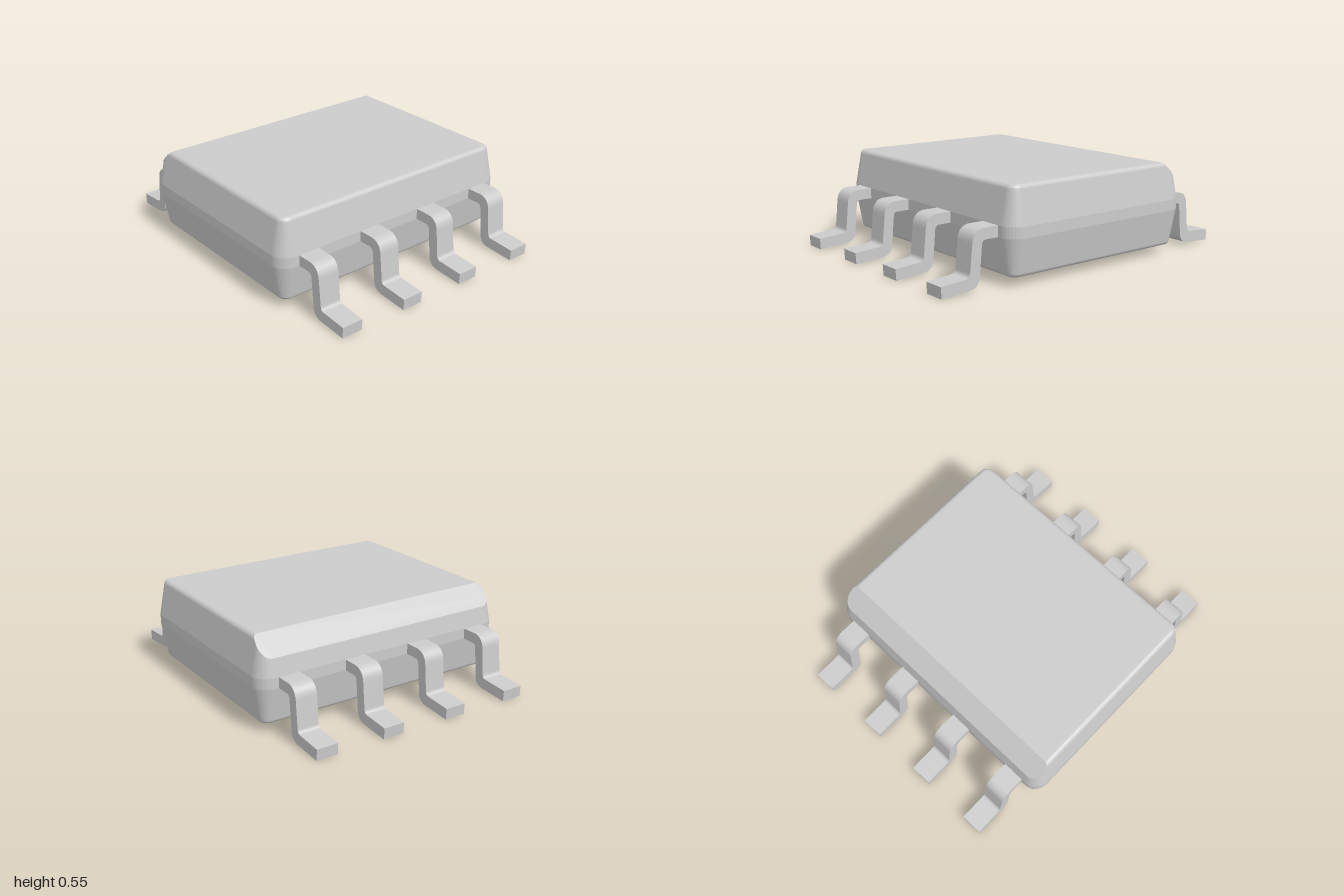
import * as THREE from 'three';
import { ConvexGeometry } from 'three/addons/geometries/ConvexGeometry.js';

const HALF_X = 0.64, HALF_Z = 0.815, CORNER = 0.09;

// Rounded rectangle at height y, drawn in by the given inset
function ring(y, inset) {
  const r = CORNER - inset, steps = 8, points = [];
  for (let q = 0; q < 4; q++) {
    const cx = (HALF_X - CORNER) * (q === 0 || q === 3 ? 1 : -1);
    const cz = (HALF_Z - CORNER) * (q < 2 ? 1 : -1);
    for (let i = 0; i <= steps; i++) {
      const a = (q + i / steps) * Math.PI / 2;
      points.push(new THREE.Vector3(cx + r * Math.cos(a), y, cz + r * Math.sin(a)));
    }
  }
  return points;
}

// Tapered, filleted body with one long top edge bevelled off
function bodyGeometry() {
  const rings = [];
  const fillet = 6, tilt = 0.17, r = 0.028;
  const addFillet = (yFace, dir) => {
    for (let i = 0; i <= fillet; i++) {
      const a = tilt + (i / fillet) * (Math.PI / 2 - tilt);
      rings.push(ring(yFace - dir * r * (1 - Math.sin(a)), 0.034 + r * (1 - Math.cos(a))));
    }
  };
  addFillet(0.05, -1);
  rings.reverse();
  rings.push(ring(0.267, 0), ring(0.33, 0));
  addFillet(0.545, 1);

  // Keep the points under the bevel plane, and add those where edges cross it
  const above = p => p.y - p.x - 1.055;
  const points = [];
  const cross = (p, q) => {
    const a = above(p), b = above(q);
    if (a * b < 0) points.push(p.clone().lerp(q, a / (a - b)));
  };
  rings.forEach((loop, j) => loop.forEach((p, i) => {
    if (above(p) <= 0) points.push(p);
    cross(p, loop[(i + 1) % loop.length]);
    if (j + 1 < rings.length) cross(p, rings[j + 1][i]);
  }));
  return new ConvexGeometry(points);
}

// Gull-wing lead pointing to +x
function leadGeometry(width) {
  const s = new THREE.Shape();
  s.moveTo(0.6, 0.267);
  s.lineTo(0.715, 0.267);
  s.quadraticCurveTo(0.739, 0.267, 0.742, 0.243);
  s.lineTo(0.758, 0.07);
  s.quadraticCurveTo(0.766, 0.017, 0.82, 0.013);
  s.lineTo(0.996, 0);
  s.lineTo(1, 0.065);
  s.lineTo(0.842, 0.077);
  s.quadraticCurveTo(0.822, 0.079, 0.819, 0.1);
  s.lineTo(0.803, 0.26);
  s.quadraticCurveTo(0.795, 0.325, 0.733, 0.33);
  s.lineTo(0.6, 0.33);
  s.closePath();
  const g = new THREE.ExtrudeGeometry(s, { depth: width, bevelEnabled: false, curveSegments: 10 });
  return g.translate(0, 0, -width / 2);
}

export function createModel() {
  const model = new THREE.Group();
  model.name = 'surfaceMountChip';
  const material = new THREE.MeshStandardMaterial({ color: 0xcccccc });
  const add = (name, geometry) => {
    const mesh = new THREE.Mesh(geometry, material);
    mesh.name = name;
    model.add(mesh);
    return mesh;
  };

  add('body', bodyGeometry());

  // Flat pad under the body
  add('thermalPad', new THREE.BoxGeometry(0.8, 0.06, 1.02)).position.y = 0.03;

  // Four leads along each long side
  const lead = leadGeometry(0.13);
  for (const side of ['left', 'right']) {
    for (let i = 0; i < 4; i++) {
      const mesh = add(`${side}Lead${i + 1}`, lead);
      mesh.position.z = (i - 1.5) * 0.4235;
      if (side === 'right') mesh.rotation.y = Math.PI;
    }
  }
  return model;
}
